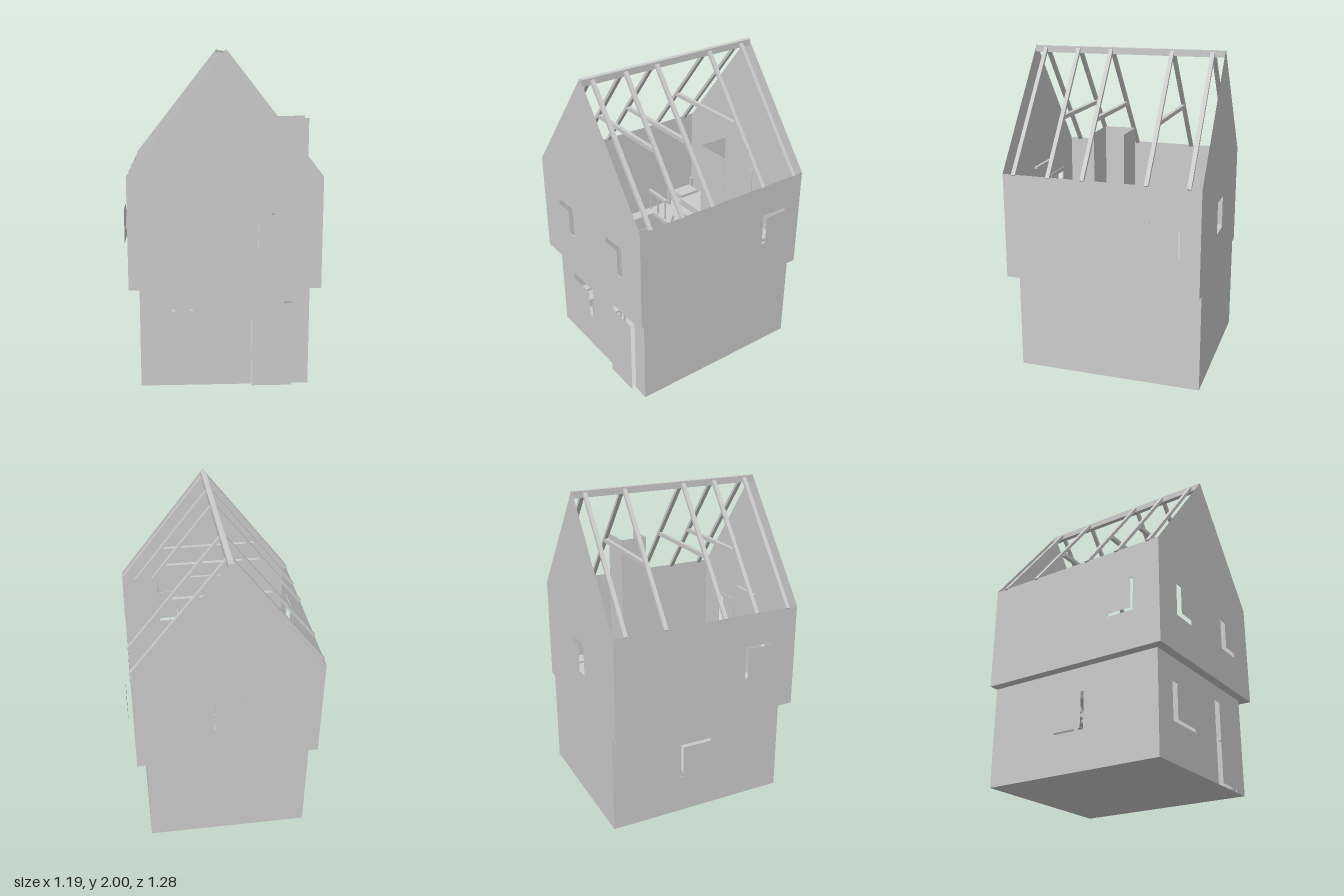
import * as THREE from 'three';

const grey = new THREE.MeshStandardMaterial({ color: 0xcccccc, side: THREE.DoubleSide });
grey.name = 'plain grey';

function add(parent, name, geometry, x = 0, y = 0, z = 0) {
  const mesh = new THREE.Mesh(geometry, grey);
  mesh.name = name;
  mesh.position.set(x, y, z);
  parent.add(mesh);
  return mesh;
}

// Box given by its minimum and maximum corners
function box(parent, name, x0, x1, y0, y1, z0, z1) {
  return add(parent, name, new THREE.BoxGeometry(x1 - x0, y1 - y0, z1 - z0),
    (x0 + x1) / 2, (y0 + y1) / 2, (z0 + z1) / 2);
}

const polygon = (points) => points.map(([x, y]) => new THREE.Vector2(x, y));
const rect = ([x0, x1, y0, y1], m = 0) =>
  polygon([[x0 - m, y0 - m], [x1 + m, y0 - m], [x1 + m, y1 + m], [x0 - m, y1 + m]]);

// Thin wall drawn in its own plane, with openings, loose outer panels and inner frames
function wall(parent, name, points, openings, angle, distance) {
  const group = new THREE.Group();
  group.name = name;
  const shape = new THREE.Shape(polygon(points));
  for (const o of openings) {
    shape.holes.push(new THREE.Path(rect(o)));
    add(group, 'openingPanel', new THREE.ShapeGeometry(new THREE.Shape(rect(o))), 0, 0, 0.03);
    if (o[2] > 0.01) {
      const frame = new THREE.Shape(rect(o, 0.03));
      frame.holes.push(new THREE.Path(rect(o)));
      add(group, 'innerFrame', new THREE.ExtrudeGeometry(frame, { depth: 0.005, bevelEnabled: false }), 0, 0, -0.007);
    }
  }
  add(group, name + 'Surface', new THREE.ShapeGeometry(shape));
  group.rotation.y = angle;
  group.position.set(Math.sin(angle) * distance, 0, Math.cos(angle) * distance);
  parent.add(group);
}

// Horizontal plate; shape coordinates are x and z
function plate(parent, name, outer, y, hole) {
  const shape = new THREE.Shape(rect(outer));
  if (hole) shape.holes.push(new THREE.Path(rect(hole)));
  add(parent, name, new THREE.ShapeGeometry(shape).rotateX(Math.PI / 2), 0, y, 0);
}

// Square beam between two points
function beam(parent, name, a, b, width, depth) {
  const from = new THREE.Vector3(...a), to = new THREE.Vector3(...b);
  const mesh = add(parent, name, new THREE.BoxGeometry(width, depth, from.distanceTo(to)));
  mesh.position.copy(from).add(to).multiplyScalar(0.5);
  mesh.lookAt(to);
}

function stool(parent, x, z, r) {
  const g = new THREE.Group();
  g.name = 'stool';
  g.position.set(x, 0, z);
  add(g, 'stoolSeat', new THREE.CylinderGeometry(r, r, 0.012, 8), 0, 0.12, 0);
  for (let i = 0; i < 3; i++) {
    const a = i * Math.PI * 2 / 3;
    add(g, 'stoolLeg', new THREE.CylinderGeometry(0.005, 0.005, 0.115, 6),
      Math.sin(a) * r * 0.8, 0.058, Math.cos(a) * r * 0.8);
  }
  parent.add(g);
}

function table(parent, name, x0, x1, z0, z1, h) {
  box(parent, name + 'Top', x0, x1, h - 0.015, h, z0, z1);
  for (const x of [x0 + 0.012, x1 - 0.012])
    for (const z of [z0 + 0.04, z1 - 0.04])
      box(parent, name + 'Leg', x - 0.007, x + 0.007, 0.002, h - 0.015, z - 0.007, z + 0.007);
}

export function createModel() {
  const house = new THREE.Group();
  house.name = 'house';
  const W = 0.565, L = 0.505, D = 0.61, F = 0.555, MID = 0.62, EAVE = 1.28, TOP = 2;
  const winY = [0.86, 1.07];

  // Outer walls
  const gable = [[W, MID], [W, EAVE], [0, TOP], [-W, EAVE], [-W, MID]];
  wall(house, 'upperFrontWall', gable,
    [[-0.37, -0.195, ...winY], [0.19, 0.365, ...winY]], 0, D);
  wall(house, 'backWall', [[-L, 0], [L, 0], [L, MID], ...gable, [-L, MID]],
    [[-0.087, 0.087, ...winY]], Math.PI, D);
  wall(house, 'lowerFrontWall', [[-L, 0], [0.16, 0], [0.16, 0.001], [0.4, 0.001], [0.4, 0], [L, 0], [L, MID], [-L, MID]],
    [[-0.35, -0.095, 0.24, 0.48], [0.16, 0.4, 0.002, 0.52]], 0, F);
  const upper = [[-D, MID], [D, MID], [D, EAVE], [-D, EAVE]];
  wall(house, 'upperRightWall', upper, [[0.307, 0.487, ...winY]], Math.PI / 2, W);
  wall(house, 'upperLeftWall', upper, [[0.255, 0.435, ...winY]], -Math.PI / 2, W);
  wall(house, 'lowerRightWall', [[-F, 0], [D, 0], [D, MID], [-F, MID]], [], Math.PI / 2, L);
  wall(house, 'lowerLeftWall', [[-D, 0], [F, 0], [F, MID], [-D, MID]],
    [[-0.15, 0.06, 0.24, 0.47]], -Math.PI / 2, L);
  add(house, 'doorKnob', new THREE.CylinderGeometry(0.006, 0.006, 0.028, 8).rotateX(Math.PI / 2), 0.19, 0.27, 0.57);

  // Floors: ground, overhanging ledge and rear loft
  plate(house, 'groundFloor', [-L, L, -D, F], 0);
  plate(house, 'upperLedge', [-W, W, -D, D], MID, [-0.485, 0.505, -0.21, F]);
  box(house, 'loftEdgeBeam', -L, L, MID - 0.03, MID - 0.002, -0.235, -0.212);
  for (const [x0, x1] of [[-0.56, -0.35], [-0.16, 0.56]]) {
    box(house, 'loftRail', x0, x1, 0.76, 0.78, -0.235, -0.217);
    for (let x = x0 + 0.01; x < x1; x += 0.09)
      box(house, 'loftBaluster', x - 0.005, x + 0.005, MID, 0.76, -0.231, -0.221);
  }

  // Open roof frame
  box(house, 'ridgeBeam', -0.015, 0.015, 1.95, 1.99, -D, D);
  for (const z of [0.54, 0.32, 0.105, -0.285, -0.535])
    for (const s of [-1, 1])
      beam(house, 'rafter', [s * 0.565, 1.274, z], [s * 0.014, 1.976, z], 0.025, 0.018);
  for (const z of [0.32, 0.105, -0.285])
    box(house, 'collarTie', -0.305, 0.305, 1.58, 1.605, z - 0.012, z + 0.012);

  // Chimney made of three thin sides, open outward
  for (const z of [0.025, -0.155])
    add(house, 'chimneySide', new THREE.PlaneGeometry(0.21, 1.565), 0.46, 0.7825, z)
      .geometry.translate(0, 0, 0);
  add(house, 'chimneyInnerFace', new THREE.PlaneGeometry(0.18, 1.565).rotateY(Math.PI / 2), 0.355, 0.7825, -0.065);
  house.children.filter((c) => c.name.startsWith('chimney')).forEach((c) => {
    // Keep the chimney above the overhang
    c.scale.y = (1.565 - MID) / 1.565;
    c.position.y = (1.565 + MID) / 2;
  });

  // Steep stair to the loft
  for (const x of [-0.32, -0.195])
    beam(house, 'stairStringer', [x, 0.02, -0.005], [x, 0.66, -0.26], 0.02, 0.02);
  for (let i = 1; i < 15; i++) {
    const t = i / 15;
    box(house, 'stairTread', -0.31, -0.205, t * 0.64, t * 0.64 + 0.008, -0.01 - t * 0.255, 0.015 - t * 0.255);
  }

  // Two loft beds
  for (const s of [-1, 1]) {
    const bed = new THREE.Group();
    bed.name = 'bed';
    box(bed, 'bedBase', 0.06, 0.525, 0.68, 0.7, -0.575, -0.375);
    box(bed, 'mattress', 0.06, 0.38, 0.7, 0.735, -0.585, -0.37);
    box(bed, 'pillow', 0.41, 0.515, 0.7, 0.735, -0.55, -0.4);
    for (const x of [0.06, 0.525])
      for (const z of [-0.58, -0.375])
        box(bed, 'bedPost', x - 0.009, x + 0.009, MID, 0.78, z - 0.009, z + 0.009);
    bed.rotation.y = 0;
    if (s < 0) bed.children.forEach((c) => { c.position.x *= -1; });
    house.add(bed);
  }

  // Ground floor furniture
  table(house, 'desk', -0.485, -0.32, 0.19, 0.465, 0.22);
  table(house, 'bench', -0.285, -0.21, 0.2, 0.455, 0.12);
  table(house, 'counter', 0.255, 0.31, -0.21, 0.09, 0.22);
  box(house, 'deskBook', -0.44, -0.37, 0.22, 0.23, 0.215, 0.3);
  box(house, 'deskBox', -0.47, -0.415, 0.22, 0.24, 0.38, 0.45);
  add(house, 'deskCup', new THREE.CylinderGeometry(0.02, 0.015, 0.04, 10), -0.44, 0.24, 0.365);
  add(house, 'deskDish', new THREE.CylinderGeometry(0.023, 0.018, 0.008, 10), -0.378, 0.224, 0.38);
  stool(house, 0.175, -0.165, 0.042);
  stool(house, -0.405, 0.115, 0.045);
  for (const [x, z, r] of [[0.445, 0.485, 0.04], [0.455, 0.395, 0.028]]) {
    const profile = polygon([[0, 0.002], [r * 0.7, 0.002], [r, r], [r * 0.9, r * 2], [r * 0.55, r * 2.4], [r * 0.65, r * 2.7]]);
    add(house, 'jar', new THREE.LatheGeometry(profile, 10), x, 0, z);
  }
  box(house, 'gableShelf', -0.115, 0.11, 1.2, 1.215, 0.588, 0.606);
  return house;
}
